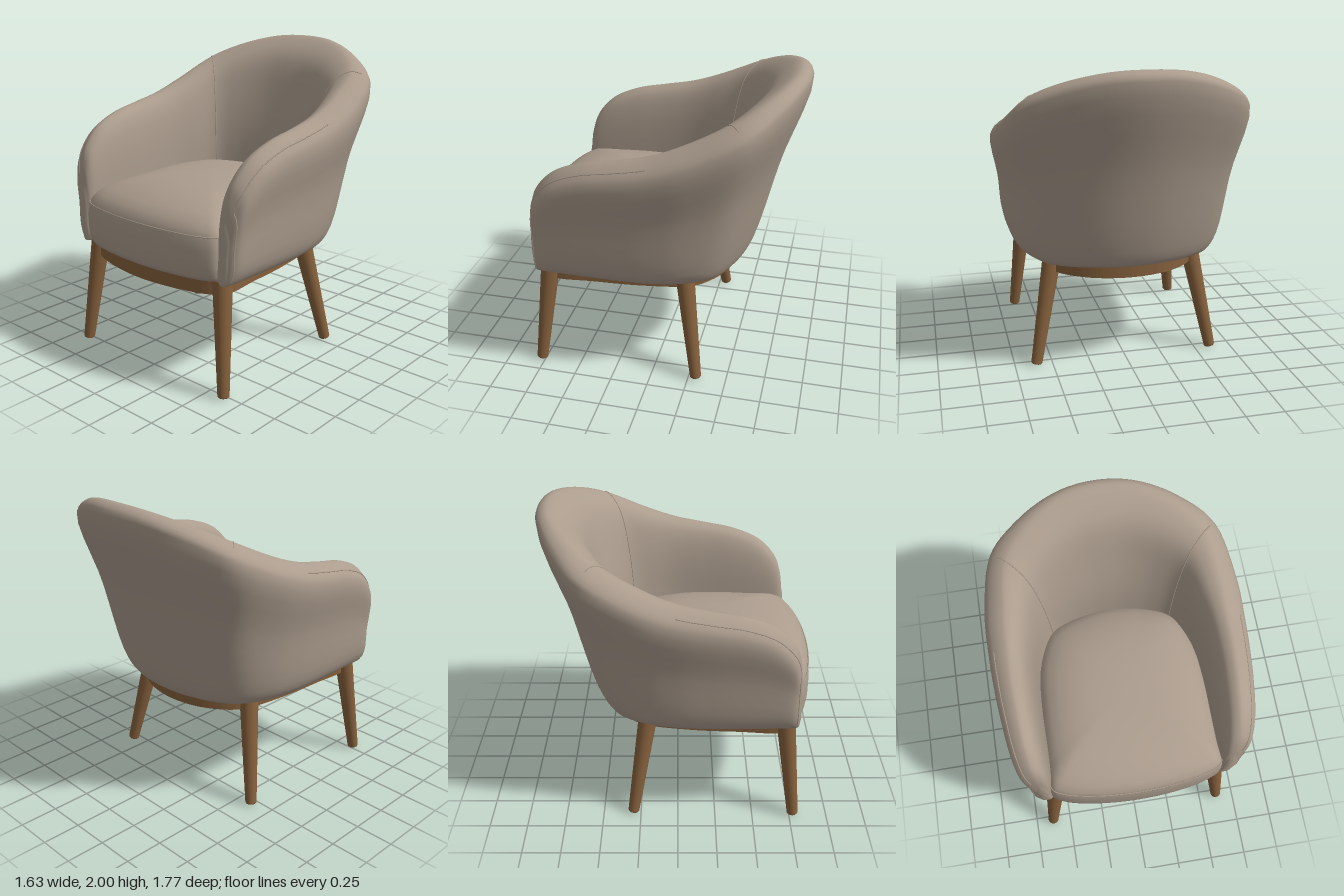
import * as THREE from 'three';

const lerp = THREE.MathUtils.lerp;
const V = (x, y, z) => new THREE.Vector3(x, y, z);

// Skin a list of closed rings that all have the same number of points
function loft(rings) {
  const n = rings[0].length, pos = [], idx = [];
  rings.forEach(r => r.forEach(p => pos.push(p.x, p.y, p.z)));
  for (let i = 0; i < rings.length - 1; i++) {
    for (let j = 0; j < n; j++) {
      const a = i * n + j, c = i * n + (j + 1) % n, b = a + n, d = c + n;
      idx.push(a, c, b, b, c, d);
    }
  }
  const g = new THREE.BufferGeometry();
  g.setAttribute('position', new THREE.Float32BufferAttribute(pos, 3));
  g.setIndex(idx);
  g.computeVertexNormals();
  return g;
}

// Closed plan outline from its +x half, running front centre to back centre
function outline(half, count) {
  const left = half.slice(1, -1).reverse().map(([x, z]) => [-x, z]);
  const pts = [...half, ...left].map(([x, z]) => V(x, 0, z));
  return new THREE.CatmullRomCurve3(pts, true, 'centripetal').getPoints(count).slice(0, -1);
}

// Shell stations, arm front to back centre:
// outer bottom x,z | outer rim x,z | inner wall x,z | height | blend from arm to back
const STATIONS = [
  [.65, .768, .66, .765, .59, .768, 1.09, 0],
  [.68, .75, .70, .745, .57, .75, 1.22, 0],
  [.70, .70, .74, .70, .555, .70, 1.34, 0],
  [.705, .58, .77, .58, .55, .58, 1.46, 0],
  [.71, .40, .79, .40, .55, .40, 1.535, 0],
  [.71, .20, .805, .20, .55, .20, 1.575, 0],
  [.70, 0, .81, -.02, .535, 0, 1.62, 0],
  [.66, -.20, .795, -.27, .49, -.16, 1.70, .15],
  [.57, -.37, .71, -.575, .41, -.31, 1.83, .5],
  [.42, -.475, .50, -.745, .28, -.38, 1.925, .8],
  [.20, -.55, .25, -.85, .13, -.412, 1.985, 1],
  [0, -.57, 0, -.885, 0, -.42, 2, 1],
];
const SEG = 48;
const RIM = 27; // section index just above the outer rim edge

// Wall cross-section: up the inside, over the rim, down the outside
function section([bx, bz, ox, oz, ix, iz, h, b]) {
  const mix = (arm, back) => lerp(arm, back, b);
  const inner = (k, f) => V(lerp(ix, ox, k), lerp(.725, h, f), lerp(iz, oz, k));
  const oy = h - mix(.095, .05);
  const outer = (k, y) => V(lerp(bx, ox, k), y, lerp(bz, oz, k));
  const pts = [
    inner(0, 0), inner(0, .37),
    inner(mix(.06, .21), mix(.73, .69)),
    inner(mix(.2, .41), mix(.91, .88)),
    inner(mix(.35, .62), mix(.975, .96)),
    inner(mix(.58, .86), 1),
    outer(1, oy),
    outer(.5, lerp(.8, oy, .52)),
    outer(0, .8),
    V(lerp(bx, ix, .35), .72, lerp(bz, iz, .35)),
  ];
  return new THREE.CatmullRomCurve3(pts, true, 'centripetal').getPoints(SEG).slice(0, -1);
}

// Ring shrunk toward its middle, for the rounded arm ends
function shrink(ring, s, dz) {
  const c = ring.reduce((a, p) => a.add(p), V(0, 0, 0)).divideScalar(ring.length);
  return ring.map(p => p.clone().lerp(c, 1 - s).add(V(0, 0, dz)));
}

export function createModel() {
  const group = new THREE.Group();
  const fabric = new THREE.MeshStandardMaterial({ color: 0xab9c8d });
  const wood = new THREE.MeshStandardMaterial({ color: 0x85603c });
  fabric.name = 'fabric';
  wood.name = 'wood';

  const add = (name, geometry, material) => {
    const mesh = new THREE.Mesh(geometry, material);
    mesh.name = name;
    group.add(mesh);
    return mesh;
  };
  const piping = (name, pts) => add(name, new THREE.TubeGeometry(
    new THREE.CatmullRomCurve3(pts), 120, .004, 6), fabric);

  // Wraparound back and arms
  const half = STATIONS.map(section);
  const mirror = ring => ring.map(p => V(-p.x, p.y, p.z));
  const stations = [...half, ...half.slice(0, -1).reverse().map(mirror)];
  const rails = half[0].map((_, j) =>
    new THREE.CatmullRomCurve3(stations.map(r => r[j]), false, 'catmullrom', .5).getPoints(132));
  const rings = rails[0].map((_, i) => rails.map(r => r[i]));
  const first = rings[0], last = rings[rings.length - 1];
  add('backAndArms', loft([
    shrink(first, 0, .01), shrink(first, .75, .008), ...rings,
    shrink(last, .75, .008), shrink(last, 0, .01),
  ]), fabric);

  // Seams where the arms meet the back, and up the arm fronts along the outer rim
  const armSeam = [...rings[6].slice(RIM, 42).reverse(), ...rails[RIM].slice(7, 37)];
  for (const [side, flip] of [['left', r => r], ['right', mirror]]) {
    piping(side + 'BackSeam', flip(half[8].slice(3, SEG / 2 + 3)));
    piping(side + 'ArmSeam', flip(armSeam));
  }

  // Seat cushion: plan outline stacked into a domed block, rounder toward the crown
  const plan = outline([[0, .88], [.3, .86], [.5, .815], [.57, .77], [.575, .6], [.57, .2],
    [.54, -.1], [.44, -.32], [.22, -.42], [0, -.45]], 96);
  const layer = ([s, y]) => plan.map(p => {
    const q = V(p.x, 0, p.z - .2);
    return q.setLength(lerp(.6, q.length(), s) * s).add(V(0, y, .2));
  });
  add('seatCushion', loft([[0, .72], [.94, .72], [.975, .728], [.99, .755], [1, .82], [1, .92],
    [.99, .99], [.97, 1.03], [.93, 1.07], [.86, 1.108], [.74, 1.147], [.6, 1.172],
    [.45, 1.188], [.3, 1.196], [.15, 1.2], [0, 1.201]].map(layer)), fabric);
  const edge = layer([.989, 1]);
  piping('seatSeam', [...edge.slice(-28), ...edge.slice(0, 29)]);

  // Wooden frame ring under the seat
  const flat = pts => pts.map(p => new THREE.Vector2(p.x, p.z));
  const frameOuter = outline([[0, .84], [.3, .805], [.5, .74], [.565, .68], [.555, .4],
    [.535, .1], [.48, -.2], [.42, -.3], [.24, -.42], [0, -.465]], 96);
  const frameInner = outline([[0, .775], [.28, .74], [.45, .685], [.5, .64], [.495, .4],
    [.475, .1], [.42, -.18], [.36, -.26], [.2, -.365], [0, -.4]], 96);
  const frameShape = new THREE.Shape(flat(frameOuter));
  frameShape.holes.push(new THREE.Path(flat(frameInner).reverse()));
  add('seatFrame', new THREE.ExtrudeGeometry(frameShape, { depth: .105, bevelEnabled: false })
    .rotateX(Math.PI / 2).translate(0, .73, 0), wood);

  // Tapered, splayed legs
  const leg = (name, top, foot) => {
    const dir = top.clone().sub(foot);
    const r = .037, len = dir.length();
    const profile = [[0, 0], [r - .006, 0], [r, .008], [.062, len - .01], [.057, len], [0, len]]
      .map(([x, y]) => new THREE.Vector2(x, y));
    const mesh = add(name, new THREE.LatheGeometry(profile, 24), wood);
    mesh.position.copy(foot);
    mesh.quaternion.setFromUnitVectors(V(0, 1, 0), dir.normalize());
  };
  for (const s of [1, -1]) {
    const side = s > 0 ? 'Left' : 'Right';
    leg('front' + side + 'Leg', V(s * .55, .725, .695), V(s * .627, .004, .775));
    leg('back' + side + 'Leg', V(s * .47, .725, -.19), V(s * .607, .004, -.3));
  }
  return group;
}
